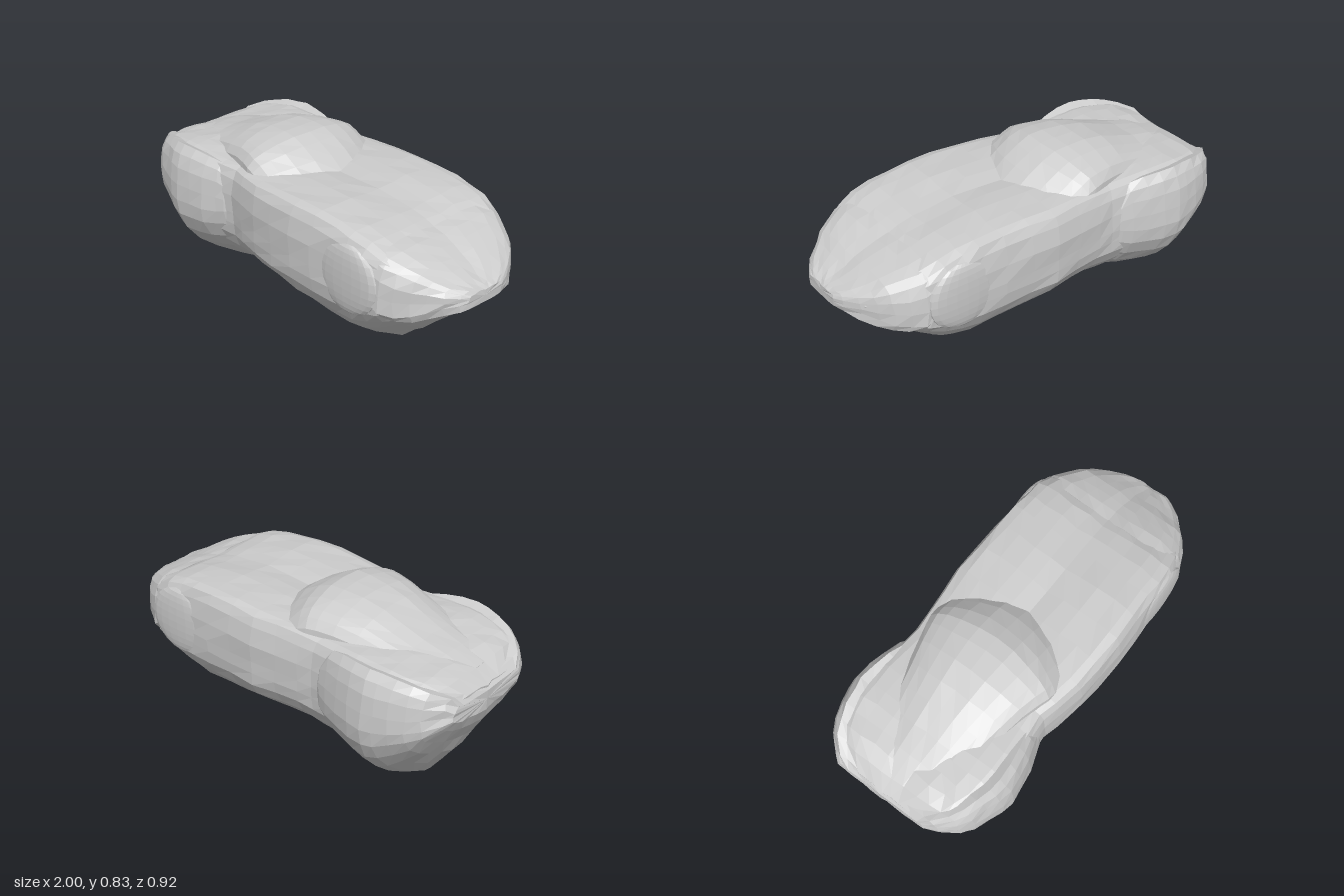
import * as THREE from 'three';

const material = new THREE.MeshStandardMaterial({ color: 0xcccccc, flatShading: true, side: THREE.DoubleSide });

// Small seeded generator for the uneven, hand-faceted surface
function seeded(seed) {
  return () => {
    seed = (seed * 16807) % 2147483647;
    return seed / 2147483647 - 0.5;
  };
}

// Half profiles run from top centre to bottom centre as [width fraction, height fraction];
// positive heights reach from the beltline to the top, negative ones to the keel.
const keelProfile = [
  [1, 0], [0.975, -0.18], [0.88, -0.38], [0.72, -0.57], [0.5, -0.75], [0.28, -0.89], [0.1, -0.98], [0, -1],
];
const hullProfile = [
  [0, 0.95], [0.2, 0.98], [0.42, 1], [0.65, 1], [0.82, 0.985], [0.92, 0.94], [0.97, 0.8], [1, 0.5], [1, 0.2],
  ...keelProfile,
];
const fenderProfile = [
  [0, 0.75], [0.4, 0.78], [0.72, 0.9], [0.85, 0.99], [0.92, 0.85], [0.965, 0.62], [0.99, 0.3],
  ...keelProfile,
];
const noseProfile = [
  [0, 0.95], [0.2, 0.98], [0.42, 1], [0.65, 0.99], [0.82, 0.94], [0.92, 0.83], [0.98, 0.6], [1, 0.3],
  [1, 0], [0.94, -1], [0.5, -1], [0, -1],
];
const canopyProfile = [
  [0, 1], [0.28, 0.99], [0.55, 0.92], [0.76, 0.82], [0.89, 0.72], [0.98, 0.55], [1, 0.3], [1, 0], [0.5, -1], [0, -1],
];

// Skins sections [x, keel, belt, top, zMin, zMax] with a mirrored half profile
function loft(sections, half, jitter, sweep = () => 0) {
  const random = seeded(71);
  const ring = [
    ...half,
    ...half.slice(1, -1).reverse().map(([u, v]) => [-u, v]),
  ];
  const n = ring.length;
  const positions = [];
  const indices = [];
  for (const [x, keel, belt, top, zMin, zMax] of sections) {
    for (const [u, v] of ring) {
      const z = (zMin + zMax) / 2 + u * (zMax - zMin) / 2;
      const y = belt + (v > 0 ? v * (top - belt) : v * (belt - keel));
      positions.push(
        THREE.MathUtils.clamp(x + sweep(x, u) + random() * jitter * 2, -1, 1),
        Math.max(0, y + random() * jitter),
        z + random() * jitter,
      );
    }
  }
  for (let i = 0; i < sections.length - 1; i++) {
    for (let j = 0; j < n; j++) {
      const a = i * n + j, b = i * n + (j + 1) % n;
      indices.push(a, b, a + n, b, b + n, a + n);
    }
  }
  // End caps
  [0, sections.length - 1].forEach((s, end) => {
    const [x, keel, , top, zMin, zMax] = sections[s];
    const centre = positions.length / 3;
    positions.push(x, (keel + top) / 2, (zMin + zMax) / 2);
    for (let j = 0; j < n; j++) {
      const a = s * n + j, b = s * n + (j + 1) % n;
      if (end) indices.push(centre, a, b);
      else indices.push(centre, b, a);
    }
  });
  const geometry = new THREE.BufferGeometry();
  geometry.setAttribute('position', new THREE.Float32BufferAttribute(positions, 3));
  geometry.setIndex(indices);
  geometry.computeVertexNormals();
  return geometry;
}

function add(parent, name, geometry) {
  const mesh = new THREE.Mesh(geometry, material);
  mesh.name = name;
  parent.add(mesh);
  return mesh;
}

// Shallow arch bulge with a flattened outer face
function archGeometry() {
  const geometry = new THREE.SphereGeometry(1, 20, 14);
  const p = geometry.attributes.position;
  for (let i = 0; i < p.count; i++) {
    const z = p.getZ(i);
    p.setZ(i, Math.sign(z) * Math.abs(z) ** 0.4);
  }
  return geometry.scale(0.19, 0.17, 0.06);
}

export function createModel() {
  const model = new THREE.Group();
  model.name = 'car';

  // Main body: pointed keel, narrow waist, recessed below the nose
  add(model, 'body', loft([
    [-0.985, 0.48, 0.54, 0.61, -0.23, 0.20],
    [-0.92, 0.36, 0.50, 0.665, -0.32, 0.31],
    [-0.85, 0.25, 0.47, 0.69, -0.36, 0.35],
    [-0.78, 0.15, 0.45, 0.70, -0.385, 0.38],
    [-0.71, 0.06, 0.43, 0.71, -0.395, 0.39],
    [-0.64, 0.03, 0.42, 0.715, -0.40, 0.395],
    [-0.54, 0.045, 0.42, 0.715, -0.395, 0.395],
    [-0.42, 0.065, 0.42, 0.71, -0.38, 0.385],
    [-0.31, 0.072, 0.42, 0.71, -0.37, 0.38],
    [-0.22, 0.095, 0.42, 0.715, -0.375, 0.40],
    [-0.10, 0.09, 0.42, 0.72, -0.385, 0.425],
    [0.04, 0.08, 0.42, 0.725, -0.40, 0.44],
    [0.18, 0.065, 0.42, 0.73, -0.395, 0.45],
    [0.32, 0.05, 0.42, 0.73, -0.39, 0.445],
    [0.44, 0.035, 0.42, 0.72, -0.385, 0.44],
    [0.53, 0.06, 0.42, 0.71, -0.38, 0.44],
    [0.62, 0.13, 0.42, 0.69, -0.375, 0.435],
    [0.70, 0.195, 0.42, 0.655, -0.355, 0.415],
    [0.78, 0.265, 0.43, 0.615, -0.31, 0.375],
    [0.86, 0.335, 0.445, 0.575, -0.24, 0.315],
    [0.92, 0.385, 0.465, 0.535, -0.18, 0.25],
    [0.98, 0.435, 0.475, 0.505, -0.06, 0.17],
  ], hullProfile, 0.008));

  // Rear fenders: flared shell wrapped around the tail, ending at the waist
  add(model, 'rearFenders', loft([
    [-1.0, 0.49, 0.55, 0.60, -0.27, 0.22],
    [-0.97, 0.42, 0.53, 0.645, -0.305, 0.285],
    [-0.91, 0.32, 0.51, 0.675, -0.375, 0.355],
    [-0.85, 0.22, 0.49, 0.695, -0.41, 0.395],
    [-0.78, 0.125, 0.47, 0.71, -0.435, 0.42],
    [-0.71, 0.035, 0.455, 0.72, -0.45, 0.445],
    [-0.65, 0.0, 0.45, 0.722, -0.46, 0.455],
    [-0.57, 0.015, 0.45, 0.72, -0.45, 0.445],
    [-0.49, 0.04, 0.45, 0.715, -0.43, 0.43],
    [-0.41, 0.065, 0.46, 0.70, -0.405, 0.405],
    [-0.36, 0.085, 0.47, 0.665, -0.385, 0.39],
    [-0.31, 0.12, 0.48, 0.60, -0.35, 0.36],
  ], fenderProfile, 0.006));

  // Nose hood overhanging the hull with a thin lip
  add(model, 'noseHood', loft([
    [0.66, 0.42, 0.45, 0.675, -0.365, 0.43],
    [0.72, 0.38, 0.41, 0.66, -0.36, 0.425],
    [0.78, 0.375, 0.405, 0.638, -0.325, 0.395],
    [0.84, 0.385, 0.42, 0.61, -0.28, 0.355],
    [0.89, 0.405, 0.44, 0.578, -0.23, 0.31],
    [0.94, 0.425, 0.46, 0.548, -0.165, 0.26],
    [0.98, 0.44, 0.47, 0.525, -0.09, 0.205],
    [1.0, 0.45, 0.475, 0.51, -0.04, 0.17],
  ], noseProfile, 0.006));

  // Canopy: tapers into the tail, windshield edge sweeps back at both sides
  const sweep = (x, u) => -0.13 * u * u * THREE.MathUtils.smoothstep(x, -0.4, 0.06);
  add(model, 'canopy', loft([
    [-0.92, 0.56, 0.58, 0.66, -0.18, 0.18],
    [-0.80, 0.56, 0.58, 0.70, -0.21, 0.21],
    [-0.68, 0.56, 0.58, 0.73, -0.235, 0.235],
    [-0.57, 0.56, 0.58, 0.77, -0.255, 0.255],
    [-0.47, 0.56, 0.59, 0.805, -0.275, 0.28],
    [-0.36, 0.56, 0.60, 0.83, -0.30, 0.305],
    [-0.25, 0.56, 0.60, 0.836, -0.32, 0.33],
    [-0.17, 0.56, 0.60, 0.832, -0.33, 0.345],
    [-0.10, 0.56, 0.60, 0.805, -0.335, 0.35],
    [-0.02, 0.56, 0.60, 0.76, -0.335, 0.35],
    [0.06, 0.56, 0.60, 0.70, -0.33, 0.345],
  ], canopyProfile, 0.004, sweep));

  // Front wheel arches, one on each flank
  for (const side of [1, -1]) {
    const arch = add(model, side > 0 ? 'leftFrontArch' : 'rightFrontArch', archGeometry());
    arch.position.set(0.53, 0.5, 0.03 + side * 0.36);
  }

  return model;
}
